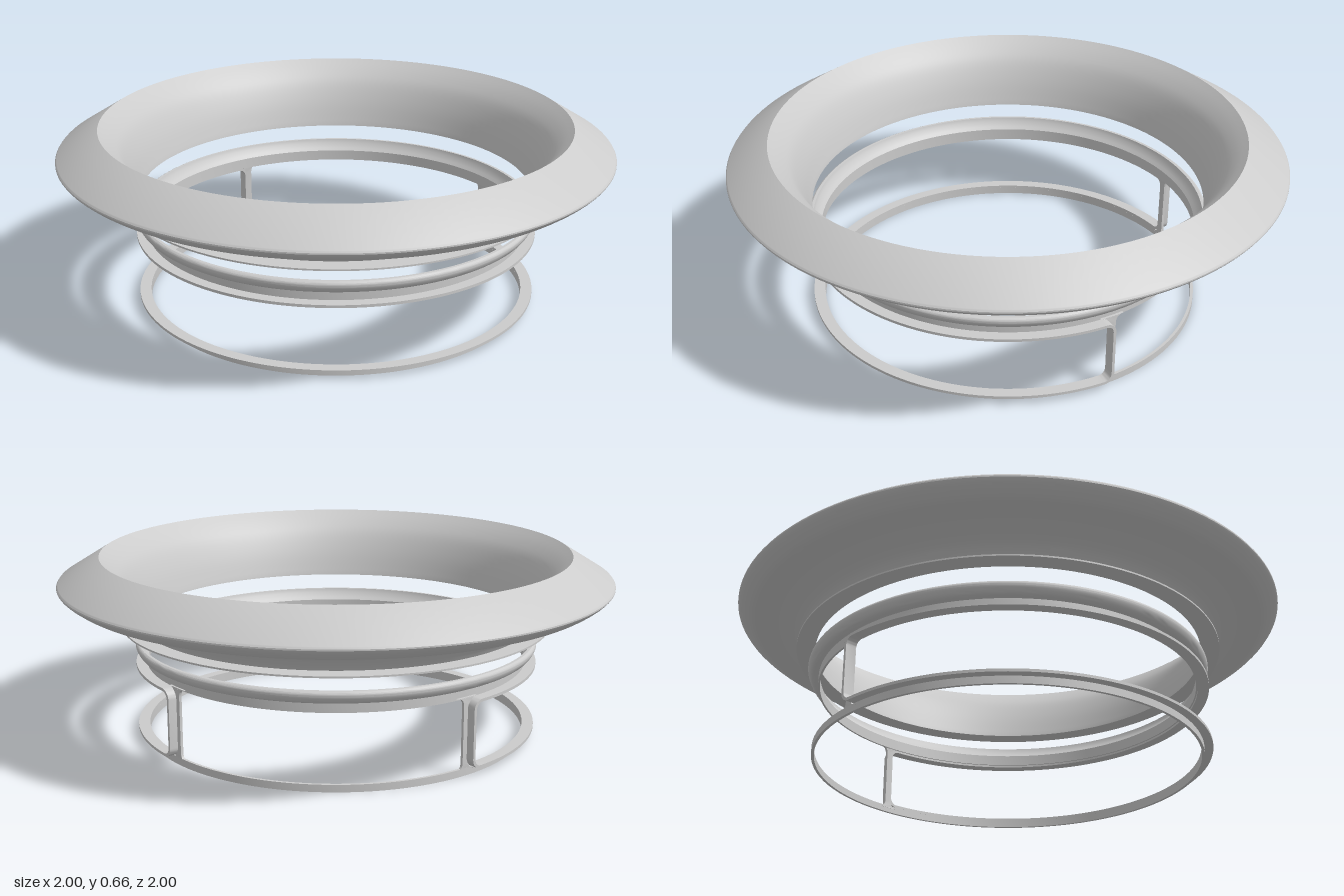
import * as THREE from 'three';
import { toCreasedNormals } from 'three/addons/utils/BufferGeometryUtils.js';

const material = new THREE.MeshStandardMaterial({ color: 0xcccccc, side: THREE.DoubleSide });
const R = 0.7; // reference radius for shapes wrapped around the axis

function addMesh(parent, name, geometry) {
  const mesh = new THREE.Mesh(toCreasedNormals(geometry, 0.45), material);
  mesh.name = name;
  parent.add(mesh);
}

// Closed ring from an anticlockwise [radius, height] outline
function ring(outline) {
  const points = [...outline, outline[0]].map(([r, y]) => new THREE.Vector2(r, y));
  return new THREE.LatheGeometry(points, 128);
}

// Smooth run of points through a few profile points
function smooth(points, n) {
  const curve = new THREE.SplineCurve(points.map(([r, y]) => new THREE.Vector2(r, y)));
  return curve.getPoints(n).map((p) => [p.x, p.y]);
}

// Arc length, height and radius to a position around the axis
const around = (s, y, r) => [Math.sin(s / R) * r, y, Math.cos(s / R) * r];

// Extrude a shape drawn in (arc length, height) and wrap it between two radii
function wrap(shape, r0, r1) {
  const geometry = new THREE.ExtrudeGeometry(shape, { depth: r1 - r0, bevelEnabled: false, curveSegments: 8 });
  const pos = geometry.attributes.position;
  for (let i = 0; i < pos.count; i++) {
    pos.setXYZ(i, ...around(pos.getX(i), pos.getY(i), r0 + pos.getZ(i)));
  }
  return geometry;
}

// Rounded rectangle [arc length, height], with finely divided long sides
function roundedOutline(half, y0, y1, radius) {
  const points = [];
  const inner = half - radius;
  const corner = (x, y, start) => {
    for (let i = 0; i <= 8; i++) {
      const a = start + (i / 8) * Math.PI / 2;
      points.push([x + radius * Math.cos(a), y + radius * Math.sin(a)]);
    }
  };
  const side = (y, dir) => {
    for (let i = 1; i < 100; i++) points.push([dir * inner * (i / 50 - 1), y]);
  };
  side(y0, 1);
  corner(inner, y0 + radius, -Math.PI / 2);
  corner(inner, y1 - radius, 0);
  side(y1, -1);
  corner(-inner, y1 - radius, Math.PI / 2);
  corner(-inner, y0 + radius, Math.PI);
  return points;
}

// Solid band between two matching outlines, wrapped between two radii
function wrappedFrame(outer, inner, r0, r1) {
  const positions = [];
  const index = [];
  const n = outer.length;
  for (let i = 0; i < n; i++) {
    positions.push(
      ...around(...outer[i], r0), ...around(...outer[i], r1),
      ...around(...inner[i], r1), ...around(...inner[i], r0),
    );
    const j = (i + 1) % n;
    for (let k = 0; k < 4; k++) {
      const m = (k + 1) % 4;
      const [a, b, c, d] = [i * 4 + k, j * 4 + k, j * 4 + m, i * 4 + m];
      index.push(a, b, c, a, c, d);
    }
  }
  const geometry = new THREE.BufferGeometry();
  geometry.setAttribute('position', new THREE.Float32BufferAttribute(positions, 3));
  geometry.setIndex(index);
  return geometry;
}

// Upright with flared ends
function postShape(s, half, y0, y1, f) {
  const shape = new THREE.Shape();
  shape.moveTo(s - half - f, y0);
  shape.lineTo(s + half + f, y0);
  shape.quadraticCurveTo(s + half, y0, s + half, y0 + f);
  shape.lineTo(s + half, y1 - f);
  shape.quadraticCurveTo(s + half, y1, s + half + f, y1);
  shape.lineTo(s - half - f, y1);
  shape.quadraticCurveTo(s - half, y1, s - half, y1 - f);
  shape.lineTo(s - half, y0 + f);
  shape.quadraticCurveTo(s - half, y0, s - half - f, y0);
  return shape;
}

export function createModel() {
  const model = new THREE.Group();
  model.name = 'ringAssembly';

  // Flared bezel: thin foot flange, curved underside, sharp rim and funnel inside
  addMesh(model, 'bezel', ring([
    [0.71, 0.41], [0.778, 0.41], [0.778, 0.416],
    ...smooth([[0.716, 0.416], [0.732, 0.438], [0.762, 0.468], [0.81, 0.492], [0.858, 0.509]], 14),
    ...smooth([[0.915, 0.511], [0.945, 0.519], [0.98, 0.541], [0.999, 0.56], [0.994, 0.572]], 12),
    ...smooth([[0.848, 0.662], [0.805, 0.622], [0.768, 0.575], [0.735, 0.5], [0.711, 0.416]], 16),
  ]));

  // Middle ring with a rounded bead on a thin collar
  addMesh(model, 'beadRing', ring([
    [0.685, 0.268], [0.692, 0.268], [0.692, 0.304],
    ...smooth([[0.705, 0.304], [0.72, 0.312], [0.731, 0.332], [0.729, 0.345], [0.722, 0.35]], 12),
    [0.712, 0.35], [0.708, 0.335], [0.694, 0.318], [0.685, 0.308],
  ]));

  // Base ring
  addMesh(model, 'baseRing', ring([[0.69, 0], [0.7, 0], [0.7, 0.026], [0.69, 0.026]]));

  // Projecting lip that lines the wide front opening between the posts
  const half = 0.75 * Math.PI * R + 0.006;
  const t = 0.01;
  addMesh(model, 'openingLip', wrappedFrame(
    roundedOutline(half, 0.026, 0.27, 0.036),
    roundedOutline(half - t, 0.026 + t, 0.27 - t, 0.036 - t),
    0.69, 0.731,
  ));

  // Two rear posts joining the base ring to the bead ring
  for (const side of [1, -1]) {
    const post = postShape(side * (half + 0.004), 0.014, 0.018, 0.275, 0.03);
    addMesh(model, side > 0 ? 'leftPost' : 'rightPost', wrap(post, 0.69, 0.7));
  }

  return model;
}
